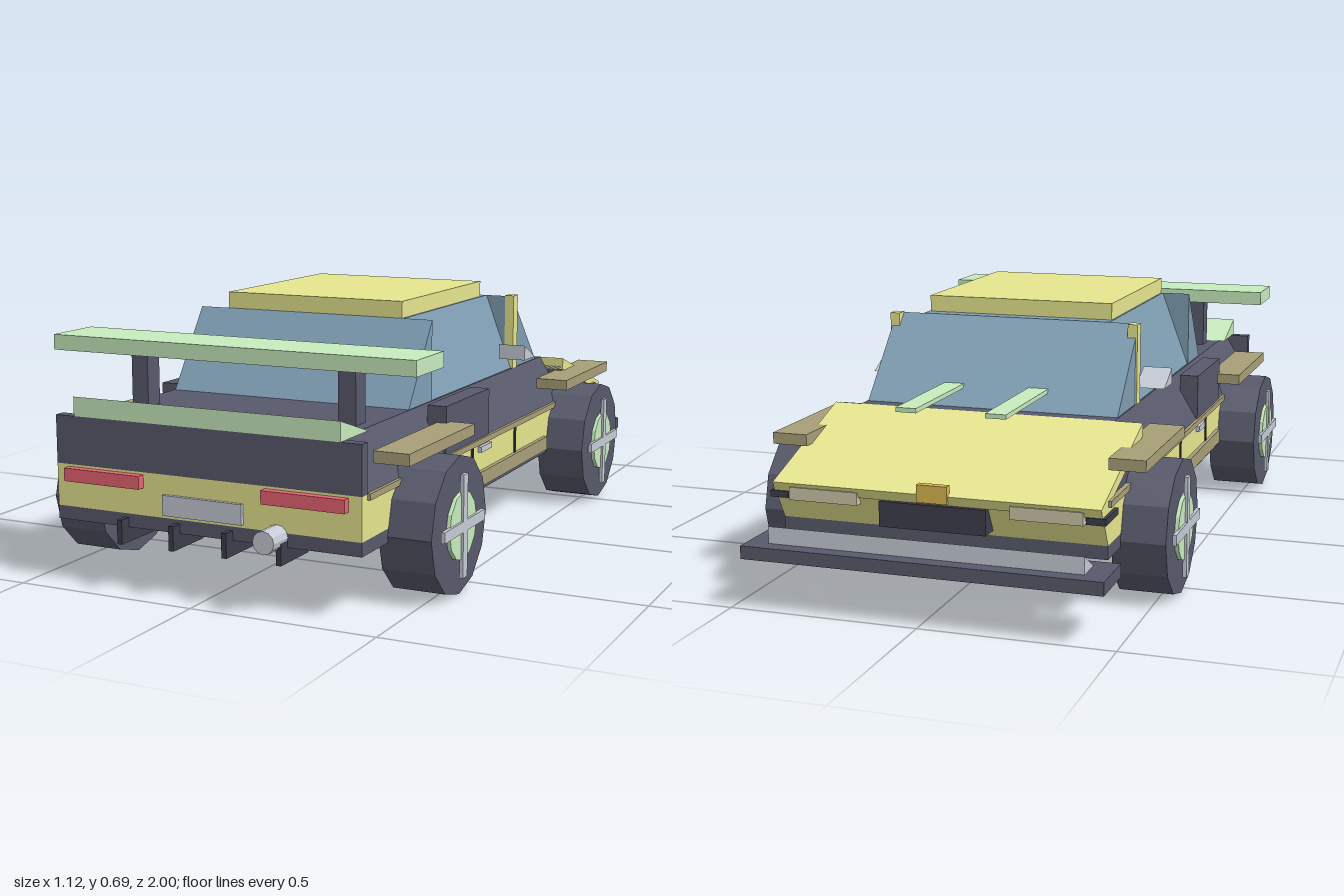
import * as THREE from 'three';

const mat = (color) => new THREE.MeshStandardMaterial({ color, flatShading: true });

export function createModel() {
  const car = new THREE.Group();
  car.name = 'sportsCar';
  const dark = mat(0x585a6c), yellow = mat(0xe6e68f), glass = mat(0x7f9eb3), green = mat(0xc8ecbe),
    red = mat(0xe86472), tan = mat(0xa89f78), silver = mat(0xc6ccd6), beige = mat(0xcdc6a8),
    black = mat(0x3c3d4a), amber = mat(0xd9b84e);

  const add = (name, geo, material) => {
    const mesh = new THREE.Mesh(geo, material);
    mesh.name = name;
    car.add(mesh);
    return mesh;
  };
  // Box from its limits on each axis
  const box = (name, m, x0, x1, y0, y1, z0, z1) =>
    add(name, new THREE.BoxGeometry(x1 - x0, y1 - y0, z1 - z0)
      .translate((x0 + x1) / 2, (y0 + y1) / 2, (z0 + z1) / 2), m);
  // The same box on both sides of the car
  const pair = (name, m, x0, x1, ...yz) => {
    box(name + 'Left', m, x0, x1, ...yz);
    box(name + 'Right', m, -x1, -x0, ...yz);
  };
  const extrude = (points, depth) => new THREE.ExtrudeGeometry(
    new THREE.Shape(points.map(([a, b]) => new THREE.Vector2(a, b))), { depth, bevelEnabled: false });
  // Side profile of [z, y] points, extruded across the car
  const profile = (name, m, points, x0, x1) =>
    add(name, extrude(points, x1 - x0).rotateY(-Math.PI / 2).translate(x1, 0, 0), m);
  // Cross-section with sides leaning inward, running along the car
  const taper = (name, m, xBottom, xTop, y0, y1, z0, z1) =>
    add(name, extrude([[-xBottom, y0], [xBottom, y0], [xTop, y1], [-xTop, y1]], z1 - z0)
      .translate(0, 0, z0), m);

  // Body shell
  box('floor', dark, -0.43, 0.43, 0.165, 0.2, -0.83, 0.93);
  profile('lowerBody', yellow, [[0.93, 0.2], [0.93, 0.31], [-0.87, 0.31], [-0.88, 0.29], [-0.83, 0.2]], -0.43, 0.43);
  taper('upperBody', dark, 0.43, 0.355, 0.31, 0.435, -0.51, 0.9);
  box('rearPanel', dark, -0.43, 0.43, 0.31, 0.435, 0.9, 0.93);
  profile('noseSide', dark, [[-0.51, 0.31], [-0.51, 0.41], [-0.82, 0.31]], -0.425, 0.425);
  profile('hood', yellow, [[-0.51, 0.435], [-0.89, 0.305], [-0.88, 0.28], [-0.51, 0.4]], -0.43, 0.43);
  pair('hoodStripe', green, 0.092, 0.147, 0.477, 0.489, -0.76, -0.42);

  // Cabin
  taper('sideWindows', glass, 0.35, 0.27, 0.435, 0.65, -0.262, 0.34);
  profile('windshield', glass, [[-0.262, 0.435], [-0.47, 0.435], [-0.262, 0.65]], -0.352, 0.352);
  profile('rearWindow', glass, [[0.34, 0.435], [0.49, 0.435], [0.34, 0.65]], -0.352, 0.352);
  box('roof', yellow, -0.265, 0.265, 0.65, 0.695, -0.222, 0.34);
  pair('windshieldPillar', yellow, 0.33, 0.357, 0.435, 0.652, -0.295, -0.26);

  // Rear wing and ducktail
  box('wing', green, -0.515, 0.515, 0.58, 0.62, 0.648, 0.813);
  pair('wingPost', dark, 0.275, 0.323, 0.435, 0.58, 0.687, 0.742);
  profile('ducktail', green, [[0.93, 0.435], [0.93, 0.485], [0.78, 0.435]], -0.375, 0.375);

  // Rear details
  pair('tailLight', red, 0.172, 0.395, 0.27, 0.304, 0.93, 0.952);
  box('rearPlate', silver, -0.112, 0.112, 0.208, 0.26, 0.93, 0.94);
  for (const x of [-0.225, -0.075, 0.075, 0.225])
    box('diffuserFin', black, x - 0.007, x + 0.007, 0.127, 0.19, 0.82, 0.962);
  add('exhaust', new THREE.CylinderGeometry(0.029, 0.029, 0.09, 12).rotateX(Math.PI / 2)
    .translate(0.205, 0.19, 0.955), silver);

  // Side details
  pair('beltTrim', tan, 0.42, 0.438, 0.296, 0.312, -0.83, 0.9);
  pair('rockerTrim', tan, 0.42, 0.442, 0.18, 0.22, -0.34, 0.41);
  pair('sideIntake', dark, 0.378, 0.432, 0.31, 0.44, 0.125, 0.43);
  pair('doorHandle', silver, 0.425, 0.44, 0.274, 0.29, 0.12, 0.2);
  for (const z of [0.245, -0.085]) pair('doorSeam', black, 0.42, 0.434, 0.22, 0.296, z - 0.005, z + 0.005);
  pair('rearFender', tan, 0.405, 0.5, 0.366, 0.396, 0.403, 0.817);
  pair('frontFender', tan, 0.405, 0.5, 0.366, 0.396, -0.745, -0.338);

  // Front details
  box('grille', black, -0.14, 0.14, 0.215, 0.28, -0.892, -0.83);
  box('noseBadge', amber, -0.04, 0.04, 0.285, 0.33, -0.892, -0.872);
  pair('headlight', beige, 0.2, 0.385, 0.262, 0.295, -0.89, -0.85);
  pair('cornerMarker', black, 0.39, 0.44, 0.265, 0.282, -0.885, -0.775);
  box('splitter', dark, -0.468, 0.468, 0.132, 0.166, -1, -0.85);
  profile('splitterWedge', silver, [[-0.885, 0.166], [-0.96, 0.166], [-0.96, 0.21]], -0.41, 0.41);

  for (const s of [1, -1]) {
    // Door mirrors
    const inner = s * 0.345, outer = s * 0.425;
    profile('doorMirror', silver, [[-0.175, 0.475], [-0.175, 0.518], [-0.262, 0.475]],
      Math.min(inner, outer), Math.max(inner, outer));

    // Wheels with hub discs and cross spokes
    for (const z of [0.61, -0.54]) {
      const wheel = new THREE.Group();
      wheel.name = 'wheel';
      const part = (name, geo, m, x) => {
        const mesh = new THREE.Mesh(geo, m);
        mesh.name = name;
        mesh.position.x = s * x;
        wheel.add(mesh);
      };
      part('tire', new THREE.CylinderGeometry(0.178, 0.178, 0.14, 12).rotateZ(Math.PI / 2), dark, 0.475);
      part('hub', new THREE.CylinderGeometry(0.088, 0.088, 0.02, 12).rotateZ(Math.PI / 2), green, 0.545);
      part('spokeUpright', new THREE.BoxGeometry(0.01, 0.264, 0.028), silver, 0.556);
      part('spokeLevel', new THREE.BoxGeometry(0.01, 0.028, 0.264), silver, 0.556);
      wheel.position.set(0, 0.18, z);
      car.add(wheel);
    }
  }
  return car;
}
